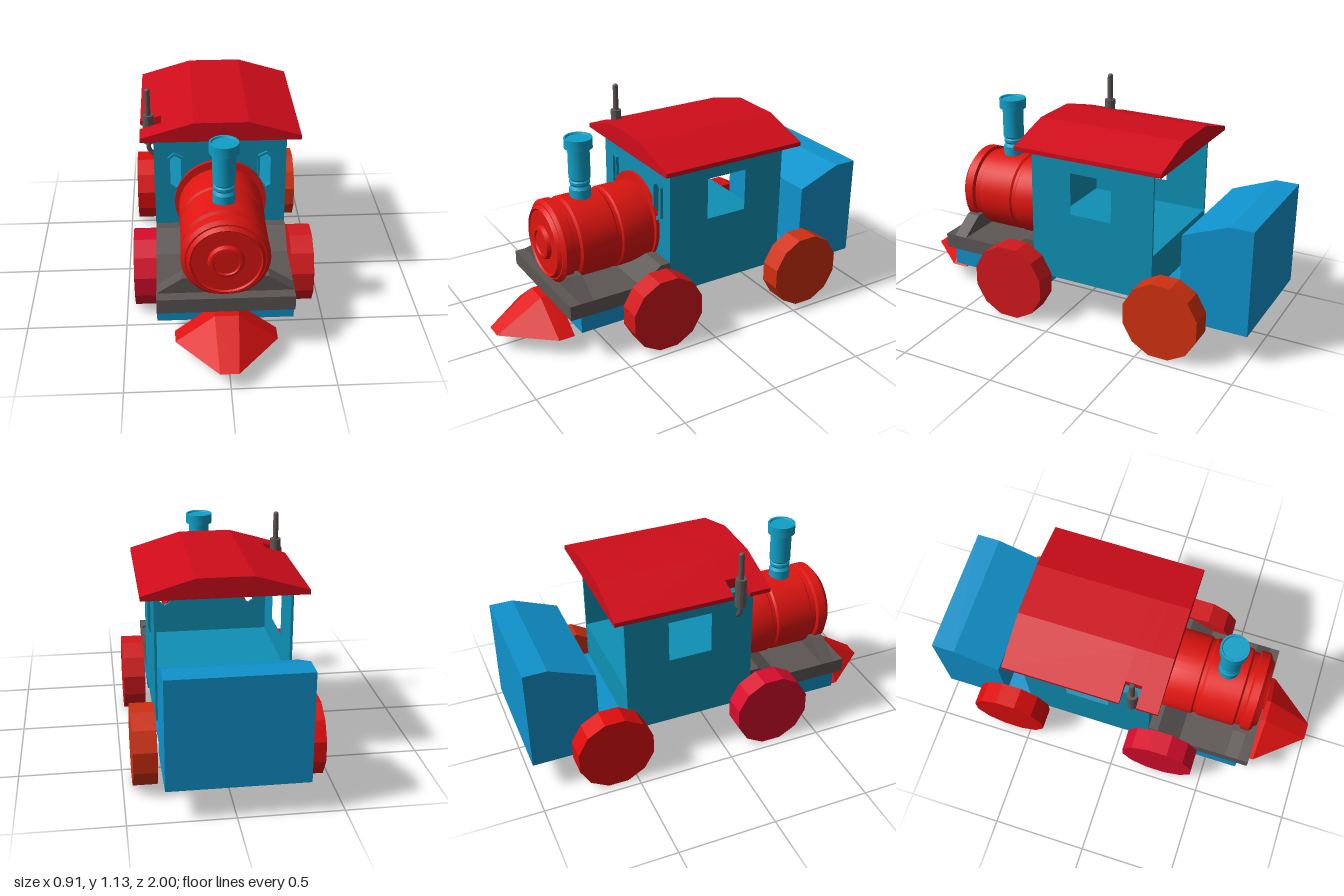
import * as THREE from 'three';
import { toCreasedNormals } from 'three/addons/utils/BufferGeometryUtils.js';
import { ConvexGeometry } from 'three/addons/geometries/ConvexGeometry.js';

const CX = -0.007; // centre line of the body
const X0 = -0.34, X1 = 0.325; // body sides
const C = {
  cab: 0x0f90b4, tender: 0x0f93cc, roof: 0xd00c1a, boiler: 0xdf1510,
  deck: 0x5c5755, funnel: 0x10a0c8, catcher: 0xdf1010,
};

const V2 = (pts) => pts.map(([a, b]) => new THREE.Vector2(a, b));

export function createModel() {
  const model = new THREE.Group();
  model.name = 'steamEngine';

  function add(name, geometry, color, flat = true) {
    const material = new THREE.MeshStandardMaterial({ color, flatShading: flat });
    const mesh = new THREE.Mesh(geometry, material);
    mesh.name = name;
    model.add(mesh);
    return mesh;
  }

  function box(name, color, x0, x1, y0, y1, z0, z1) {
    const g = new THREE.BoxGeometry(x1 - x0, y1 - y0, z1 - z0);
    return add(name, g.translate((x0 + x1) / 2, (y0 + y1) / 2, (z0 + z1) / 2), color);
  }

  function plate(points, holes, depth) {
    const shape = new THREE.Shape(V2(points));
    holes.forEach((h) => shape.holes.push(new THREE.Path(V2(h))));
    return new THREE.ExtrudeGeometry(shape, { depth, bevelEnabled: false });
  }

  // Outline in x, y pushed along z
  const alongZ = (points, z0, z1, holes = []) => plate(points, holes, z1 - z0).translate(0, 0, z0);

  // Outline in z, y pushed along x
  function alongX(points, x0, x1, holes = []) {
    const flip = (list) => list.map(([z, y]) => [-z, y]);
    return plate(flip(points), holes.map(flip), x1 - x0).rotateY(Math.PI / 2).translate(x0, 0, 0);
  }

  const turned = (profile, sides) =>
    toCreasedNormals(new THREE.LatheGeometry(V2(profile), sides), 0.5);

  // Cab: side walls with square windows, front wall, raised floor, open at the back
  const wall = [[0.17, 0.22], [0.17, 0.9], [-0.5, 0.9], [-0.5, 0.22]];
  const sideWindow = [[-0.05, 0.59], [-0.05, 0.81], [-0.275, 0.81], [-0.275, 0.59]];
  add('rightCabWall', alongX(wall, X0, X0 + 0.012, [sideWindow]), C.cab);
  add('leftCabWall', alongX(wall, X1 - 0.012, X1, [sideWindow]), C.cab);
  const pane = [[-0.26, 0.627], [-0.26, 0.78], [-0.238, 0.8], [-0.205, 0.782], [-0.205, 0.63], [-0.235, 0.61]];
  const rim = [[-0.272, 0.62], [-0.272, 0.786], [-0.24, 0.812], [-0.195, 0.79], [-0.195, 0.62], [-0.235, 0.598]];
  const mirror = (pts) => pts.map(([x, y]) => [2 * CX - x, y]);
  add('frontCabWall', alongZ(
    [[X0 + 0.012, 0.22], [X1 - 0.012, 0.22], [X1 - 0.012, 0.9], [X0 + 0.012, 0.9]],
    0.155, 0.17, [pane, mirror(pane)]), C.cab);
  add('rightWindowFrame', alongZ(rim, 0.17, 0.185, [pane]), C.cab);
  add('leftWindowFrame', alongZ(mirror(rim), 0.17, 0.185, [mirror(pane)]), C.cab);
  box('cabFloor', C.cab, X0 + 0.012, X1 - 0.012, 0.22, 0.46, -0.499, 0.155);

  // Roof, notched on the right side to clear the whistle
  const roofTop = [[0.39, 0.9], [0.39, 0.922], [0.13, 1], [-0.14, 1]];
  const fullRoof = [...roofTop, [-0.405, 0.922], [-0.405, 0.9]];
  const notchedRoof = [...roofTop, [-0.3, 0.953], [-0.3, 0.9]];
  add('roofRear', alongZ(fullRoof, -0.565, 0.035), C.roof);
  add('roofNotch', alongZ(notchedRoof, 0.035, 0.12), C.roof);
  add('roofFront', alongZ(fullRoof, 0.12, 0.23), C.roof);

  // Tender and the plate that joins it to the cab
  add('tender', alongX([[-0.65, 0.16], [-0.65, 0.61], [-0.88, 0.7], [-1, 0.7], [-1, 0.16]], X0, X1), C.tender);
  box('couplingPlate', C.tender, X0, X1, 0.22, 0.26, -0.65, -0.5);

  // Chassis, front deck, ramp up to the cab, and boiler saddle
  box('chassis', C.tender, X0, X1, 0.155, 0.24, 0.1, 0.67);
  box('frontDeck', C.deck, X0, X1, 0.24, 0.317, 0.17, 0.725);
  add('deckRamp', alongX([[0.17, 0.317], [0.34, 0.317], [0.22, 0.4], [0.17, 0.4]], X0, X1), C.deck);
  add('boilerSaddle', alongZ([[X0, 0.317], [X1, 0.317], [0.2, 0.4], [-0.215, 0.4]], 0.6, 0.67), C.deck);

  // Boiler with raised bands and a round front door
  const boiler = [
    [0.205, 0.17], [0.213, 0.185], [0.213, 0.36], [0.203, 0.368], [0.203, 0.385], [0.211, 0.395],
    [0.211, 0.585], [0.197, 0.595], [0.197, 0.622], [0.213, 0.63], [0.213, 0.675], [0.195, 0.69],
    [0.187, 0.69], [0.172, 0.708], [0.165, 0.7], [0.088, 0.7], [0.08, 0.72], [0.065, 0.722],
    [0.06, 0.715], [0, 0.715],
  ];
  add('boiler', turned(boiler, 36).rotateX(Math.PI / 2).translate(CX, 0.513, 0), C.boiler, false);
  const flange = turned([[0, 0.17], [0.233, 0.17], [0.233, 0.188], [0, 0.188]], 36);
  add('boilerFlange', flange.rotateX(Math.PI / 2).translate(CX, 0.535, 0), C.boiler, false);

  // Funnel
  const funnel = [
    [0.056, 0.69], [0.054, 0.765], [0.044, 0.78], [0.052, 0.79], [0.052, 0.803], [0.046, 0.81],
    [0.055, 0.82], [0.055, 0.978], [0.071, 0.978], [0.071, 1.03], [0.062, 1.03], [0.058, 1.022], [0, 1.022],
  ];
  add('funnel', turned(funnel, 20).translate(CX, 0, 0.49), C.funnel, false);

  // Whistle on a bent pipe
  const whistle = [
    [0, 0.832], [0.028, 0.832], [0.028, 0.985], [0.014, 0.985], [0.014, 1.12], [0.009, 1.126], [0, 1.126],
  ];
  add('whistle', turned(whistle, 12).translate(-0.364, 0, 0.09), C.deck, false);
  const pipe = new THREE.CatmullRomCurve3([
    [-0.364, 0.84], [-0.364, 0.8], [-0.355, 0.782], [-0.333, 0.76],
  ].map(([x, y]) => new THREE.Vector3(x, y, 0.09)));
  add('whistlePipe', new THREE.TubeGeometry(pipe, 10, 0.012, 8), C.deck, false);

  // Wedge-shaped track guard
  const wedge = [
    [0.248, 0.09, 0.67], [0.248, 0.09, 0.755], [0.045, 0.09, 1], [0.058, 0.24, 0.67], [0.058, 0.24, 0.76],
  ].flatMap(([x, y, z]) => [1, -1].map((s) => new THREE.Vector3(CX + s * x, y, z)));
  add('trackGuard', new ConvexGeometry(wedge), C.catcher);

  // Wheels
  const wheels = [
    ['frontLeftWheel', 0.397, 0.252, 0xd2181c], ['rearLeftWheel', 0.397, -0.603, 0xd03010],
    ['frontRightWheel', -0.397, 0.252, 0xd80c2c], ['rearRightWheel', -0.397, -0.603, 0xdf0c0c],
  ];
  for (const [name, x, z, color] of wheels) {
    const g = new THREE.CylinderGeometry(0.2, 0.2, 0.115, 12).rotateY(Math.PI / 12).rotateZ(Math.PI / 2);
    add(name, g.translate(x, 0.1935, z), color);
  }

  return model;
}
